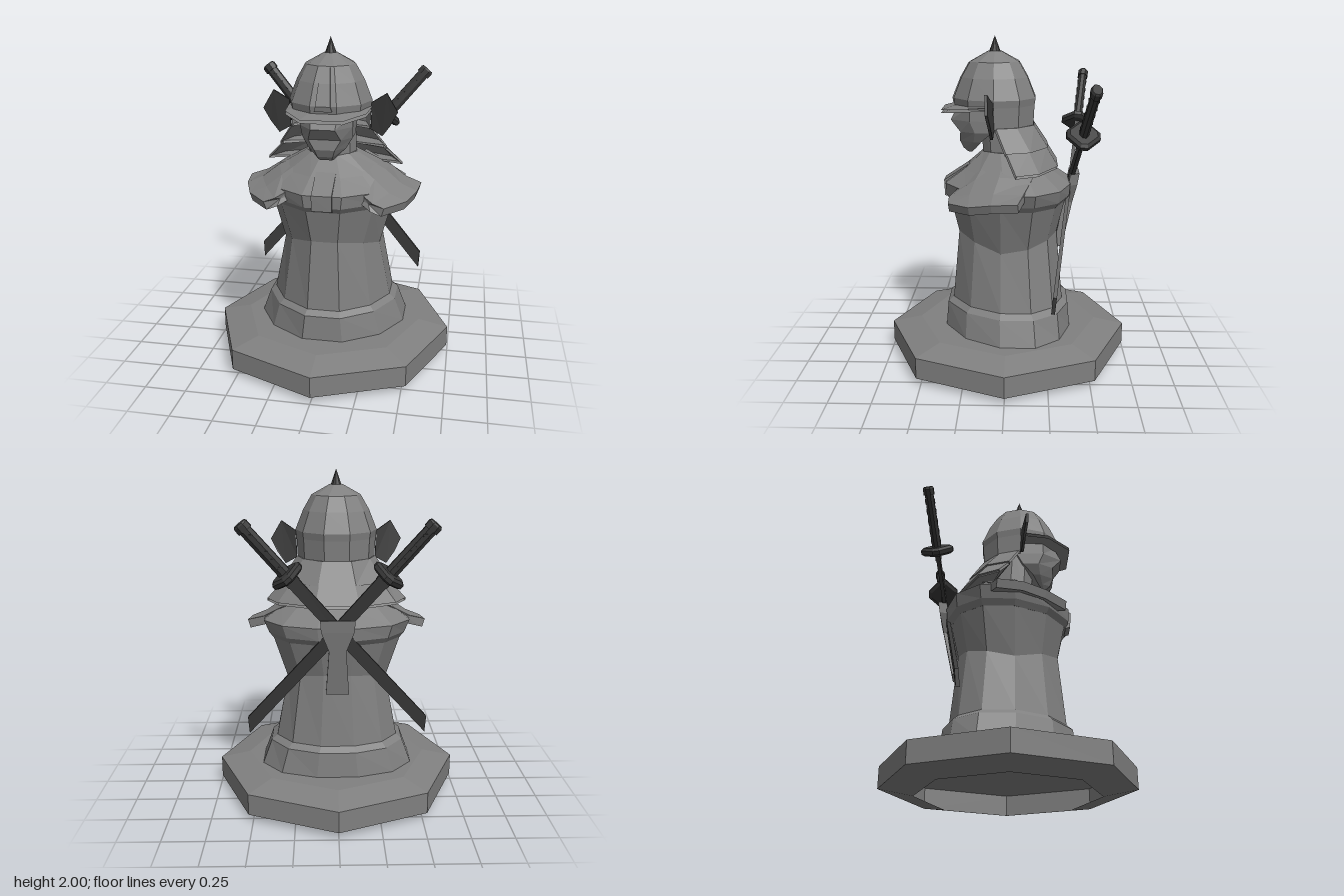
import * as THREE from 'three';

const grey = new THREE.MeshStandardMaterial({ color: 0x808080, side: THREE.DoubleSide });
grey.name = 'stone grey';
const dark = new THREE.MeshStandardMaterial({ color: 0x383838, side: THREE.DoubleSide });
dark.name = 'dark iron';
grey.flatShading = dark.flatShading = true;

const V = (p) => new THREE.Vector3(...p);

// Flat-faced geometry from triangles, each a triple of points
function fromTriangles(tris) {
  const geo = new THREE.BufferGeometry().setFromPoints(tris.flat());
  geo.computeVertexNormals();
  return geo;
}

// Skin through cross-sections; closed solids are turned outward by their signed volume
function loft(rings, { closed = true, bottom = true } = {}) {
  const r = rings.map((ring) => ring.map(V));
  const n = r[0].length;
  let tris = [];
  for (let i = 0; i < r.length - 1; i++) {
    for (let j = 0; j < (closed ? n : n - 1); j++) {
      const k = (j + 1) % n;
      const [a, b, c, d] = [r[i][j], r[i][k], r[i + 1][k], r[i + 1][j]];
      tris.push([a, d, c], [a, c, b]);
    }
  }
  if (closed) {
    for (const [ring, top] of [[r[0], false], [r[r.length - 1], true]]) {
      if (!top && !bottom) continue;
      const mid = ring.reduce((s, p) => s.add(p), new THREE.Vector3()).divideScalar(n);
      ring.forEach((p, j) => {
        const q = ring[(j + 1) % n];
        tris.push(top ? [mid, q, p] : [mid, p, q]);
      });
    }
    const volume = tris.reduce((s, [a, b, c]) => s + a.dot(b.clone().cross(c)), 0);
    if (volume < 0) tris = tris.map(([a, b, c]) => [a, c, b]);
  }
  return fromTriangles(tris);
}

// Elliptical ring with a flat facing the front
function ring(n, y, rx, rz, cz = 0, turn = Math.PI / n) {
  return Array.from({ length: n }, (_, i) => {
    const t = Math.PI / 2 + turn + (i * 2 * Math.PI) / n;
    return [rx * Math.cos(t), y, cz + rz * Math.sin(t)];
  });
}

// Plate with thickness from rows of points on its upper side
function slab(rows, offset) {
  return loft(rows.map((row) => [
    ...row,
    ...row.map((p) => p.map((v, i) => v + offset[i])).reverse(),
  ]));
}

// Half of a row of points, completed by its mirror image
const mirrorRow = (half) => [...half.map(([x, y, z]) => [-x, y, z]), ...half.slice().reverse()];
const flipX = (rows) => rows.map((row) => row.map(([x, y, z]) => [-x, y, z]));

function add(parent, name, geo, mat = grey) {
  const mesh = new THREE.Mesh(geo, mat);
  mesh.name = name;
  parent.add(mesh);
  return mesh;
}

// Square guard section with cut corners
const guardRing = (y, r) => Array.from({ length: 8 }, (_, i) => {
  const t = Math.floor(i / 2) * Math.PI / 2 + (i % 2 ? 0.22 : -0.22);
  return [r * Math.cos(t), y, r * Math.sin(t)];
});

// Sword with its guard at the origin, hilt along +y and blade along -y
function makeSword(name, s) {
  const g = new THREE.Group();
  g.name = name;
  const blade = new THREE.Shape([
    [-0.037, 0], [-0.037, -0.6], [-0.047, -1.215], [0.025, -1.29], [0.035, -0.6], [0.037, 0],
  ].map(([x, y]) => new THREE.Vector2(x * s, y)));
  const bladeGeo = new THREE.ExtrudeGeometry(blade, { depth: 0.022, bevelEnabled: false });
  add(g, 'blade', bladeGeo.translate(0, 0, -0.011), dark);
  add(g, 'bladeCollar', new THREE.BoxGeometry(0.08, 0.05, 0.03).translate(0, -0.035, 0), dark);
  add(g, 'guard', loft([
    guardRing(-0.025, 0.08), guardRing(-0.012, 0.1), guardRing(0.012, 0.1), guardRing(0.025, 0.08),
  ]), dark);
  add(g, 'hilt', loft([ring(8, 0, 0.039, 0.029), ring(8, 0.35, 0.037, 0.027)]), dark);
  add(g, 'pommel', loft([
    ring(8, 0.34, 0.045, 0.034), ring(8, 0.378, 0.045, 0.034), ring(8, 0.388, 0.037, 0.028),
  ]), dark);
  // Diamond wrapping on both faces of the grip
  for (let i = 0; i < 5; i++) {
    for (const z of [-0.027, 0.027]) {
      const wrap = add(g, 'gripWrap', new THREE.BoxGeometry(0.024, 0.024, 0.004), dark);
      wrap.position.set(0, 0.06 + i * 0.06, z);
      wrap.rotation.z = Math.PI / 4;
    }
  }
  const y = new THREE.Vector3(0.25 * s, 0.295, -0.05).normalize();
  const x = y.clone().cross(new THREE.Vector3(0, 0, 1)).normalize();
  const z = x.clone().cross(y);
  g.quaternion.setFromRotationMatrix(new THREE.Matrix4().makeBasis(x, y, z));
  g.position.set(0.28 * s, 1.45, -0.44);
  return g;
}

export function createModel() {
  const model = new THREE.Group();
  model.name = 'armouredBust';

  // Octagonal base, a hollow shell open underneath
  const o = (y, r) => ring(8, y, r, r, 0, 0);
  add(model, 'base', loft([
    o(0, 0.54), o(0.04, 0.745), o(0.17, 0.745), o(0.21, 0.56),
  ], { bottom: false }));

  // Torso, broadest behind its middle, with a stepped foot and a narrow waist
  const t = (y, w, d) => ring(12, y, w / 0.966, d / 0.966)
    .map(([px, py, pz]) => [px, py, pz - 0.17 * w * (1 - (pz * 0.966 / d) ** 2)]);
  const waist = t(0.78, 0.3, 0.3).map(([x, y, z]) => [x, 0.73 + 0.09 * Math.abs(z) / 0.3, z]);
  add(model, 'torso', loft([
    t(0.21, 0.46, 0.388), t(0.36, 0.405, 0.375), t(0.39, 0.37, 0.34), waist, t(1.04, 0.385, 0.35),
  ]));

  // Chest and shoulder mantle
  add(model, 'mantle', loft([
    t(1.02, 0.38, 0.345), t(1.055, 0.405, 0.372), t(1.13, 0.435, 0.377),
    t(1.21, 0.33, 0.265), ring(12, 1.32, 0.16, 0.145, 0.0),
  ]));
  add(model, 'neck', loft([ring(10, 1.25, 0.15, 0.14, 0.01), ring(10, 1.6, 0.14, 0.14, 0.03)]));
  const strip = [[1.235, 0.235], [1.135, 0.387], [1.04, 0.383]];
  add(model, 'chestStrap', slab(strip.map(([y, z]) => [[-0.06, y, z], [0.06, y, z]]), [0, -0.01, -0.03]));

  // Flaring shoulder guards
  const pad = [
    [[0.18, 1.28, -0.18], [0.33, 1.205, -0.15], [0.44, 1.14, -0.1], [0.54, 1.11, -0.07]],
    [[0.18, 1.29, 0.02], [0.33, 1.215, 0.04], [0.43, 1.14, 0.07], [0.525, 1.1, 0.08]],
    [[0.17, 1.265, 0.13], [0.28, 1.19, 0.18], [0.37, 1.12, 0.21], [0.475, 1.075, 0.21]],
    [[0.19, 1.15, 0.26], [0.24, 1.115, 0.3], [0.29, 1.09, 0.335], [0.355, 1.065, 0.335]],
  ];
  add(model, 'leftShoulderGuard', slab(pad, [-0.015, -0.05, -0.005]));
  add(model, 'rightShoulderGuard', slab(flipX(pad), [0.015, -0.05, -0.005]));

  // Tiered neck guard, open at the front; rows run round the back from side to side
  const tiers = [
    [[0.24, 1.48, 0.06], [0.2, 1.48, -0.06], [0.085, 1.48, -0.16]],
    [[0.33, 1.35, 0.0], [0.28, 1.35, -0.14], [0.11, 1.35, -0.245]],
    [[0.31, 1.355, 0.0], [0.265, 1.355, -0.13], [0.105, 1.355, -0.235]],
    [[0.42, 1.24, -0.06], [0.35, 1.24, -0.19], [0.13, 1.24, -0.305]],
  ].map(mirrorRow);
  add(model, 'upperNeckGuard', slab(tiers.slice(0, 2), [0, -0.015, 0.006]));
  add(model, 'lowerNeckGuard', slab(tiers.slice(2), [0, -0.015, 0.006]));

  // Faceted helmet dome, back wall, brim and spike
  const h = (y, r) => ring(10, y, r, r * 1.03, 0.075);
  add(model, 'helmet', loft([h(1.585, 0.24), h(1.64, 0.248), h(1.76, 0.2), h(1.85, 0.148), h(1.91, 0.04)]));
  const backArc = (y, r) => h(y, r).filter((p) => p[2] < 0.08);
  add(model, 'helmetBack', loft([backArc(1.46, 0.235), backArc(1.6, 0.242)], { closed: false }));
  const ridge = [[1.61, 0.322], [1.64, 0.328], [1.76, 0.279], [1.845, 0.23]];
  add(model, 'helmetRidge', slab(ridge.map(([y, z], i) => {
    const w = 0.052 - i * 0.009;
    return [[-w, y, z], [w, y, z]];
  }), [0, -0.002, -0.009]));
  const brim = [
    mirrorRow([[0.225, 1.607, 0.07], [0.19, 1.607, 0.2], [0.075, 1.604, 0.29]]),
    mirrorRow([[0.25, 1.605, 0.075], [0.235, 1.593, 0.25], [0.12, 1.574, 0.39]]),
  ];
  add(model, 'brim', slab(brim, [0, -0.018, 0]));
  add(model, 'spike', new THREE.ConeGeometry(0.04, 0.11, 10).translate(0, 1.945, 0.075), dark);

  // Angular face mask
  const face = [
    [1.31, 0.045, 0.215, 0.225, 0.035, 0.238], [1.335, 0.07, 0.19, 0.215, 0.045, 0.265],
    [1.38, 0.115, 0.155, 0.2, 0.06, 0.285], [1.44, 0.15, 0.09, 0.19, 0.095, 0.28],
    [1.51, 0.155, 0.05, 0.22, 0.07, 0.338], [1.59, 0.155, 0.05, 0.22, 0.08, 0.295],
  ];
  add(model, 'faceMask', loft(face.map(([y, w, back, mid, n, front]) =>
    mirrorRow([[w, y, back], [w, y, mid], [n, y, front]]))));

  // Side crests of the helmet
  const crest = [
    [[0.24, 1.47, 0.07], [0.245, 1.63, 0.08]],
    [[0.31, 1.43, 0.075], [0.335, 1.69, 0.105]],
    [[0.36, 1.5, 0.085], [0.4, 1.58, 0.1]],
  ];
  add(model, 'leftCrest', slab(crest, [0, 0, 0.016]), dark);
  add(model, 'rightCrest', slab(flipX(crest), [0, 0, 0.016]), dark);

  // Back holder where the swords cross
  const holder = [[1.19, 0.1, -0.437], [1.12, 0.095, -0.426], [1.0, 0.05, -0.4], [0.72, 0.068, -0.34]];
  add(model, 'swordHolder', slab(holder.map(([y, w, z]) => [[-w, y, z], [w, y, z]]), [0, -0.01, 0.055]));

  // Crossed swords
  model.add(makeSword('leftSword', 1), makeSword('rightSword', -1));
  return model;
}
